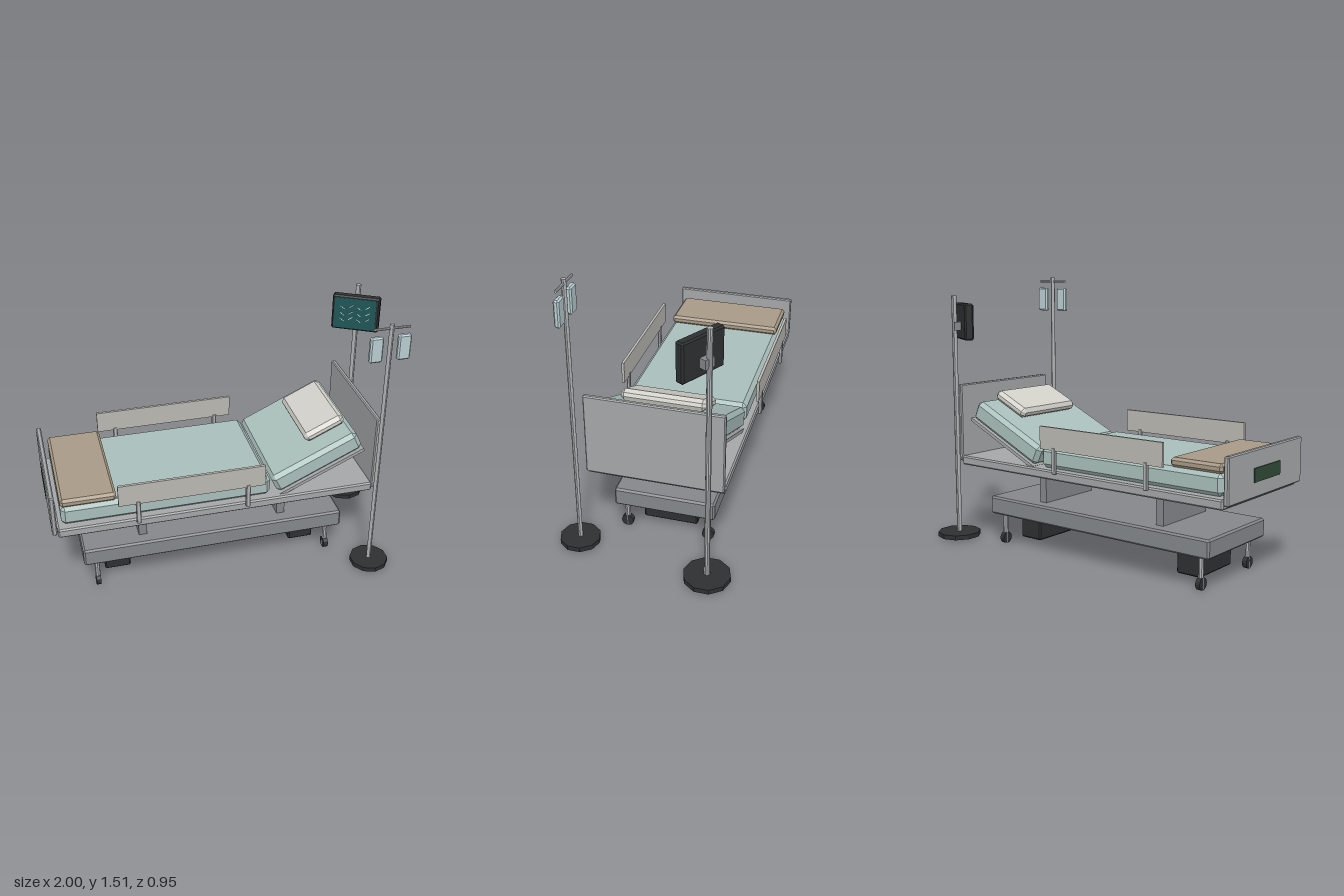
import * as THREE from 'three';
import { ConvexGeometry } from 'three/addons/geometries/ConvexGeometry.js';

const mat = (color) => new THREE.MeshStandardMaterial({ color, flatShading: true });
const M = {
  panel: mat(0xa4a6a8), frame: mat(0x84878a), steel: mat(0xb0b2b4), dark: mat(0x2e2f31),
  mattress: mat(0xa9bfbb), pillow: mat(0xd2d1ca), blanket: mat(0xa89a86), rail: mat(0xb9b8b2),
  bag: mat(0xb9cdd2), screen: mat(0x1f5555), trace: mat(0xc8e6dc), label: mat(0x2f4a36),
};
const MID = -0.054; // centre line of the bed in z

// box whose edges are cut by a flat bevel b
function bevelBox(w, h, d, b) {
  const pts = [];
  for (const x of [-1, 1]) for (const y of [-1, 1]) for (const z of [-1, 1]) {
    const X = w / 2, Y = h / 2, Z = d / 2;
    pts.push(new THREE.Vector3(x * X, y * (Y - b), z * (Z - b)),
      new THREE.Vector3(x * (X - b), y * Y, z * (Z - b)),
      new THREE.Vector3(x * (X - b), y * (Y - b), z * Z));
  }
  return new ConvexGeometry(pts);
}

function add(parent, name, geometry, material, x, y, z) {
  const mesh = new THREE.Mesh(geometry, material);
  mesh.name = name;
  mesh.position.set(x, y, z);
  parent.add(mesh);
  return mesh;
}

// box given by its limits in x and y, and its centre and depth in z
function slab(parent, name, material, x0, x1, y0, y1, z, d, b = 0) {
  const g = b ? bevelBox(x1 - x0, y1 - y0, d, b) : new THREE.BoxGeometry(x1 - x0, y1 - y0, d);
  return add(parent, name, g, material, (x0 + x1) / 2, (y0 + y1) / 2, z);
}

function group(parent, name) {
  const g = new THREE.Group();
  g.name = name;
  parent.add(g);
  return g;
}

// round foot with an upright pole
function stand(parent, name, x, z, baseR, poleR, top) {
  const g = group(parent, name);
  g.position.set(x, 0, z);
  add(g, 'standBase', new THREE.CylinderGeometry(baseR, baseR, 0.026, 10), M.dark, 0, 0.023, 0);
  add(g, 'standPole', new THREE.CylinderGeometry(poleR, poleR, top - 0.03, 10), M.steel, 0, (top + 0.03) / 2, 0);
  return g;
}

export function createModel() {
  const root = new THREE.Group();
  const bed = group(root, 'bed');

  // deck and end boards
  slab(bed, 'deck', M.panel, -0.965, 0.775, 0.457, 0.508, MID, 0.712, 0.008);
  slab(bed, 'headboard', M.panel, 0.77, 0.795, 0.478, 0.917, MID, 0.712, 0.006);
  slab(bed, 'footboard', M.panel, -0.995, -0.967, 0.478, 0.715, MID, 0.712, 0.006);
  slab(bed, 'footboardPanel', M.label, -1, -0.99, 0.555, 0.625, MID, 0.25);

  // bedding
  slab(bed, 'mattress', M.mattress, -0.94, 0.195, 0.51, 0.622, MID, 0.655, 0.022);
  slab(bed, 'foldedBlanket', M.blanket, -0.94, -0.645, 0.62, 0.668, MID, 0.65, 0.014);

  // raised backrest with its support plate
  const back = group(bed, 'backrest');
  back.position.set(0.457, 0.67, MID);
  back.rotation.z = THREE.MathUtils.degToRad(25);
  add(back, 'backMattress', bevelBox(0.524, 0.115, 0.655, 0.022), M.mattress, 0, 0, 0);
  add(back, 'backPlate', new THREE.BoxGeometry(0.52, 0.018, 0.66), M.panel, 0.002, -0.066, 0);
  const pillow = add(bed, 'pillow', bevelBox(0.239, 0.06, 0.44, 0.02), M.pillow, 0.53, 0.81, MID);
  pillow.rotation.z = back.rotation.z;

  // side rails on two posts each
  for (const s of [-1, 1]) {
    const z = MID + s * 0.378;
    slab(bed, 'sideRail', M.rail, -0.645, 0.145, 0.625, 0.747, z, 0.015);
    for (const x of [-0.542, 0.052])
      slab(bed, 'railPost', M.steel, x - 0.0125, x + 0.0125, 0.497, 0.64, z, 0.019, 0.004);
  }

  // undercarriage
  slab(bed, 'base', M.frame, -0.84, 0.64, 0.175, 0.276, MID, 0.542, 0.01);
  for (const x of [-0.498, 0.298])
    slab(bed, 'liftColumn', M.frame, x - 0.023, x + 0.023, 0.27, 0.46, MID, 0.394);
  for (const x of [-0.643, 0.443])
    slab(bed, 'motorBox', M.dark, x - 0.073, x + 0.073, 0.03, 0.18, MID, 0.296, 0.008);

  // casters
  for (const x of [-0.768, 0.568]) for (const s of [-1, 1]) {
    const z = MID + s * 0.223;
    add(bed, 'casterLeg', new THREE.CylinderGeometry(0.014, 0.014, 0.175, 8), M.steel, x, 0.0925, z);
    const wheel = add(bed, 'casterWheel', new THREE.CylinderGeometry(0.033, 0.033, 0.026, 12), M.dark, x, 0.035, z);
    wheel.rotation.z = Math.PI / 2;
  }

  // drip stand with two fluid bags
  const drip = stand(root, 'dripStand', 0.768, 0.368, 0.108, 0.0125, 1.512);
  const bar = add(drip, 'crossbar', new THREE.CylinderGeometry(0.007, 0.007, 0.198, 8), M.steel, 0, 1.488, 0);
  bar.rotation.z = Math.PI / 2;
  for (const s of [-1, 1])
    add(drip, 'fluidBag', bevelBox(0.07, 0.14, 0.03, 0.008), M.bag, s * 0.075, 1.378, 0);

  // monitor stand, the screen turned toward the bed
  const post = stand(root, 'monitorStand', 0.88, -0.35, 0.123, 0.0145, 1.414);
  const monitor = group(post, 'monitor');
  monitor.position.set(-0.025, 1.267, 0.05);
  monitor.rotation.y = -Math.PI / 6;
  add(monitor, 'monitorCase', bevelBox(0.268, 0.206, 0.05, 0.008), M.dark, 0, 0, 0);
  add(monitor, 'monitorMount', new THREE.BoxGeometry(0.06, 0.05, 0.04), M.frame, 0, -0.027, -0.042);
  add(monitor, 'screen', new THREE.BoxGeometry(0.236, 0.186, 0.006), M.screen, -0.004, 0, 0.025);
  for (const y of [0.035, -0.005, -0.04]) for (let i = 0; i < 4; i++) {
    const dash = add(monitor, 'screenTrace', new THREE.BoxGeometry(0.028, 0.004, 0.003), M.trace,
      -0.075 + i * 0.048, y + (i % 2) * 0.01, 0.028);
    dash.rotation.z = i % 2 ? 0.6 : -0.6;
  }
  return root;
}
